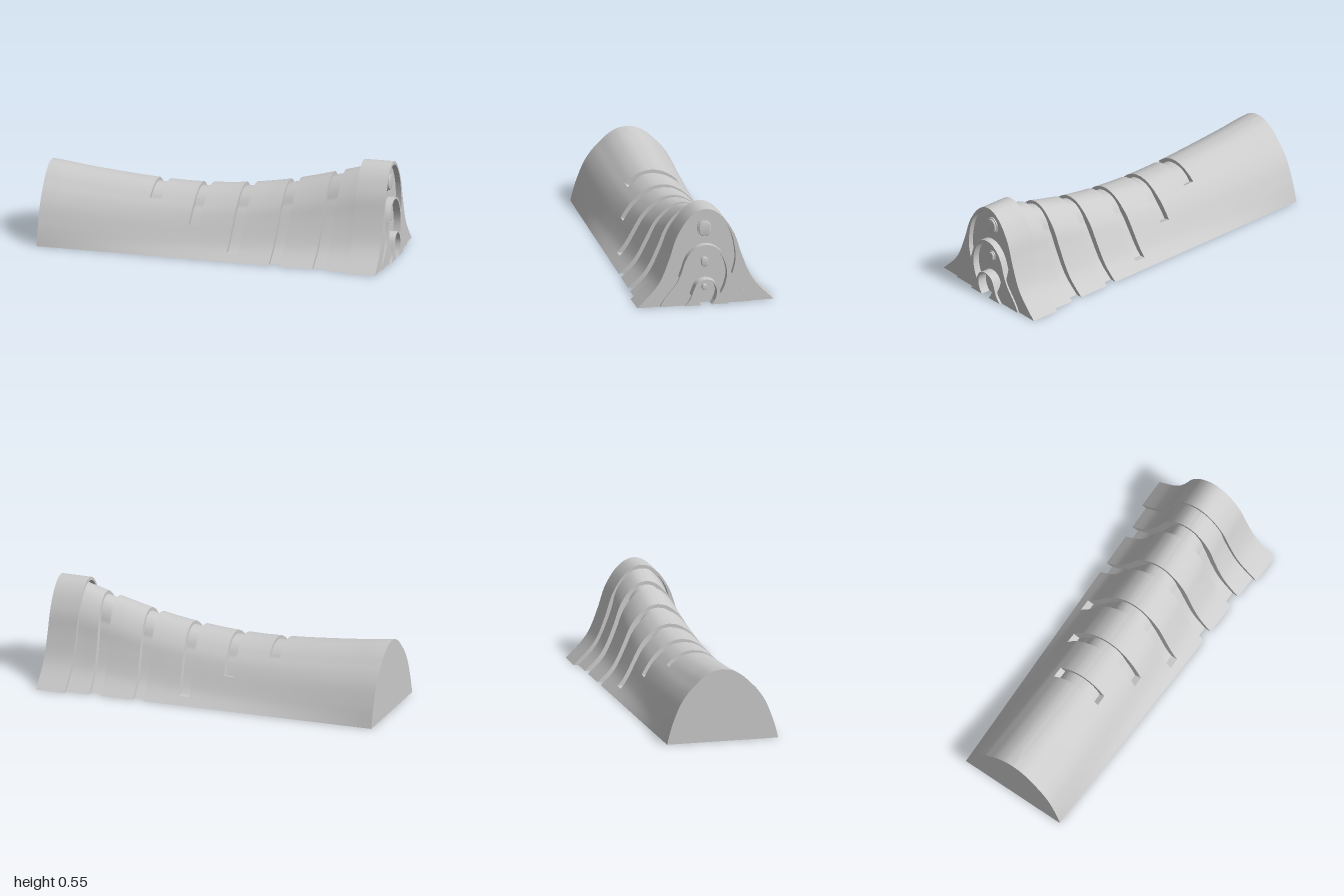
import * as THREE from 'three';
import { toCreasedNormals } from 'three/addons/utils/BufferGeometryUtils.js';

const V2 = (p) => new THREE.Vector2(p[0], p[1]);
const lerp = THREE.MathUtils.lerp;
const grey = new THREE.MeshStandardMaterial({ color: 0xcccccc });
const greyDouble = new THREE.MeshStandardMaterial({ color: 0xcccccc, side: THREE.DoubleSide });

// Ridge height along the length, and the two end cross-sections (z fraction, y fraction)
const ridge = new THREE.SplineCurve(
  [.415, .39, .37, .354, .347, .354, .375, .41, .46, .515, .57].map((y, i) => new THREE.Vector2(-1 + i * .2, y)));
const heights = [0, .154, .3, .524, .687, .8, .9, .976, 1];
const section = (zs) => new THREE.SplineCurve(zs.map((z, i) => new THREE.Vector2(z, heights[i])));
const arch = section([1, .95, .89, .77, .63, .49, .35, .175, 0]);
const bell = section([1, .77, .64, .51, .436, .36, .256, .128, 0]);

const ROWS = 32;
const rowParam = (j) => (j <= ROWS ? j / ROWS : 2 - j / ROWS);
const ridgeAt = (u) => ridge.getPoint((u + 1) / 2).y;

// Outer skin; sunk = 1 gives the floor of a groove
function outer(u, j, sunk = 0) {
  const t = rowParam(j), side = j <= ROWS ? 1 : -1;
  const a = arch.getPoint(t), b = bell.getPoint(t);
  const f = a.y, blend = Math.min(1, (u + 1) / 1.8);
  const halfWidth = .32 + .0235 * (u + 1);
  const inset = .038 * sunk * Math.min(1, 4 * (1 - f));
  const z = side * Math.max(0, halfWidth * lerp(a.x, b.x, blend) - inset);
  const slant = -.03 * (1 - f) * Math.min(1, (u + 1) / .6);
  return [u + slant, f * (ridgeAt(u) - .02 * sunk), z];
}

// Tapering cavity, open underneath
function inner(u, j) {
  const t = rowParam(j), side = j <= ROWS ? 1 : -1;
  const a = arch.getPoint(t);
  return [Math.max(u, -.97), a.y * (ridgeAt(u) - .04), side * a.x * lerp(.29, .1, (u + 1) / 1.85)];
}

// Grooves: [start, end, lowest height fraction]
const grooves = [[-.385, -.32, .81], [-.13, -.07, .46], [.12, .185, .13], [.378, .442, -1], [.632, .7, -1]];

function bodyShell() {
  const cuts = [-1, ...grooves.flatMap((g) => [g[0], g[1]]), .85];
  const cols = [];
  for (let i = 0; i < cuts.length - 1; i++) {
    const n = Math.ceil((cuts[i + 1] - cuts[i]) / .06);
    for (let k = 0; k < n; k++) cols.push(lerp(cuts[i], cuts[i + 1], k / n));
  }
  cols.push(.85);

  const sunkAt = (i, j) => {
    if (i < 0 || i >= cols.length - 1 || j < 0) return 0;
    const mid = (cols[i] + cols[i + 1]) / 2;
    const f = arch.getPoint(rowParam(j + .5)).y;
    return grooves.some((g) => mid > g[0] && mid < g[1] && f > g[2]) ? 1 : 0;
  };
  const pos = [];
  const tri = (a, b, c) => pos.push(...a, ...b, ...c);
  const quad = (a, b, c, d) => { tri(a, b, c); tri(a, c, d); };
  const last = 2 * ROWS;

  for (let i = 0; i < cols.length - 1; i++) {
    const u = cols[i], v = cols[i + 1];
    for (let j = 0; j < last; j++) {
      const s = sunkAt(i, j);
      quad(outer(u, j, s), outer(v, j, s), outer(v, j + 1, s), outer(u, j + 1, s));
      quad(inner(u, j), inner(u, j + 1), inner(v, j + 1), inner(v, j));
      // groove side walls
      const before = sunkAt(i - 1, j);
      if (s > before) quad(outer(u, j, 0), outer(u, j, 1), outer(u, j + 1, 1), outer(u, j + 1, 0));
      if (s < before) quad(outer(u, j, 1), outer(u, j, 0), outer(u, j + 1, 0), outer(u, j + 1, 1));
      // groove end walls
      const below = sunkAt(i, j - 1);
      if (j > 0 && s > below) quad(outer(u, j, 1), outer(u, j, 0), outer(v, j, 0), outer(v, j, 1));
      if (j > 0 && s < below) quad(outer(u, j, 0), outer(u, j, 1), outer(v, j, 1), outer(v, j, 0));
    }
    // flat underside strips
    const s = sunkAt(i, 0);
    quad(outer(u, 0, s), inner(u, 0), inner(v, 0), outer(v, 0, s));
    quad(outer(u, last, s), outer(v, last, s), inner(v, last), inner(u, last));
  }
  // closed rear end, outside and inside
  for (let j = 0; j < last; j++) {
    tri([-1, 0, 0], outer(-1, j), outer(-1, j + 1));
    tri([-.97, 0, 0], inner(-1, j + 1), inner(-1, j));
  }
  const geo = new THREE.BufferGeometry();
  geo.setAttribute('position', new THREE.Float32BufferAttribute(pos, 3));
  return toCreasedNormals(geo, .5);
}

// Half profile (base to top) turned into a full mirrored outline
function outline(half) {
  const full = [...half, ...half.slice(0, -1).reverse().map(([z, y]) => [-z, y])];
  return new THREE.SplineCurve(full.map(V2)).getPoints(72);
}

// Extrude a shape drawn in the end plane from x0 to x1
function extrudeX(shape, x0, x1, bevel = 0) {
  const geo = new THREE.ExtrudeGeometry(shape, {
    depth: x1 - x0 - bevel, curveSegments: 16, bevelEnabled: bevel > 0,
    bevelThickness: bevel, bevelSize: bevel, bevelOffset: -bevel, bevelSegments: 3,
  });
  geo.rotateY(Math.PI / 2).translate(x0, 0, 0);
  return toCreasedNormals(geo, .5);
}

function slot(halfW, halfH, y) {
  const s = new THREE.Shape(), d = halfH - halfW;
  s.absarc(0, y + d, halfW, 0, Math.PI);
  s.absarc(0, y - d, halfW, Math.PI, 2 * Math.PI);
  s.closePath();
  return s;
}

export function createModel() {
  const group = new THREE.Group();
  const add = (name, geo, mat = grey) => {
    const mesh = new THREE.Mesh(geo, mat);
    mesh.name = name;
    group.add(mesh);
  };

  add('groovedBody', bodyShell(), greyDouble);
  const sill = new THREE.BoxGeometry(.03, .01, .6);
  add('rearSill', sill.translate(-.985, .005, 0));

  // Walls across the cavity behind the two full grooves
  for (const x of [.4, .65]) {
    const rim = Array.from({ length: 2 * ROWS + 1 }, (_, j) => inner(x, j)).map(([, y, z]) => new THREE.Vector2(z, y));
    add('partition', extrudeX(new THREE.Shape(rim), x, x + .03));
  }

  // Three nested bell arches with egg-shaped openings
  const collar = [[.39, 0], [.3, .09], [.25, .165], [.205, .28], [.173, .38], [.14, .445], [.1, .5], [.05, .54], [0, .553]];
  const arches = [
    { name: 'collar', x0: .805, x1: .975, out: collar,
      hole: [[.11, 0], [.13, .1], [.16, .19], [.172, .27], [.155, .38], [.12, .455], [.06, .516], [0, .532]] },
    { name: 'middleArch', x0: .93, x1: .985,
      out: [[.262, 0], [.24, .04], [.2, .09], [.165, .135], [.14, .19], [.12, .25], [.095, .295], [.05, .333], [0, .345]],
      hole: [[.05, 0], [.085, .055], [.11, .11], [.121, .175], [.108, .24], [.08, .293], [.04, .324], [0, .333]] },
    { name: 'smallArch', x0: .93, x1: 1,
      out: [[.123, 0], [.1, .025], [.085, .055], [.072, .09], [.055, .123], [.03, .141], [0, .147]],
      hole: [[.03, 0], [.05, .03], [.06, .07], [.052, .105], [.03, .133], [0, .142]] },
  ];
  for (const a of arches) {
    const ring = new THREE.Shape([...outline(a.out), ...outline(a.hole).reverse()]);
    add(a.name, extrudeX(ring, a.x0, a.x1));
  }
  // Floor of the recesses, filling the collar opening
  add('recessFloor', extrudeX(new THREE.Shape(outline(arches[0].hole)), .85, .945));

  // Oblong button in each recess: a flange with a rounded raised centre
  for (const [w, h, y] of [[.041, .051, .433], [.023, .031, .238], [.015, .02, .09]]) {
    add('buttonFlange', extrudeX(slot(w, h, y), .94, .952));
    add('buttonCentre', extrudeX(slot(w * .85, h * .87, y), .945, .962, .005));
  }
  return group;
}
